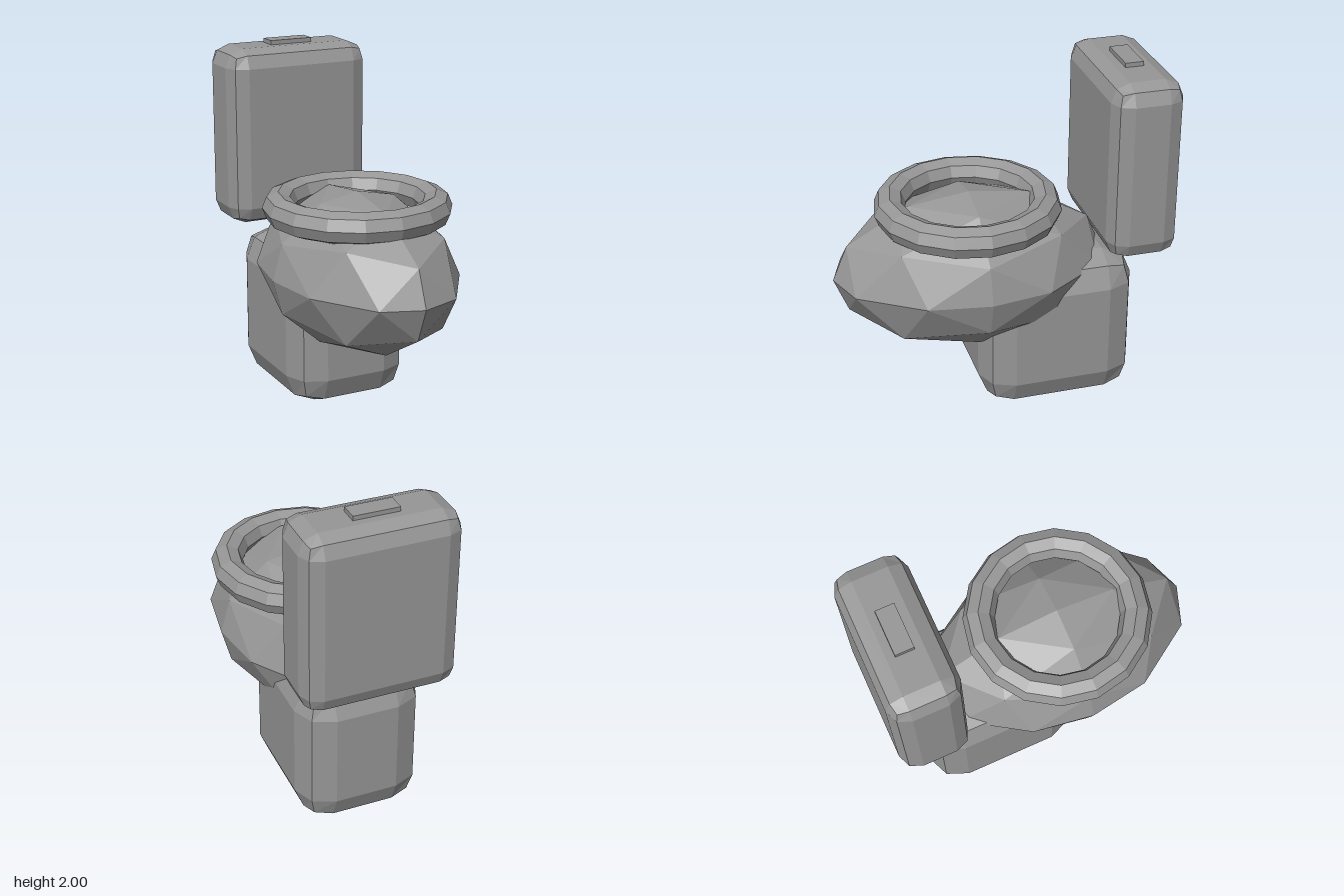
import * as THREE from 'three';
import { RoundedBoxGeometry } from 'three/addons/geometries/RoundedBoxGeometry.js';

export function createModel() {
  const group = new THREE.Group();
  const grey = new THREE.MeshStandardMaterial({ color: 0x969696, flatShading: true });
  grey.name = 'grey ceramic';

  const add = (name, geometry, x, y, z) => {
    const mesh = new THREE.Mesh(geometry, grey);
    mesh.name = name;
    mesh.position.set(x, y, z);
    group.add(mesh);
    return mesh;
  };

  // Bevelled foot and cistern: one segment gives a two-step chamfer
  add('base', new RoundedBoxGeometry(0.72, 0.91, 0.91, 1, 0.18), 0, 0.455, -0.295);
  add('tank', new RoundedBoxGeometry(0.88, 1.04, 0.41, 1, 0.105), 0, 1.455, -0.74);

  // Flush button on the cistern lid
  add('flushButton', new THREE.BoxGeometry(0.26, 0.05, 0.106), 0, 1.975, -0.742);

  // Faceted bowl, stretched front to back
  const bowl = new THREE.OctahedronGeometry(1, 2).scale(0.515, 0.45, 0.785);
  add('bowl', bowl, 0, 0.832, 0.162);

  // Ring seat lying flat on the bowl
  const seat = new THREE.TorusGeometry(0.44, 0.09, 8, 16).rotateX(Math.PI / 2);
  add('seat', seat, 0, 1.197, 0.168);

  return group;
}
